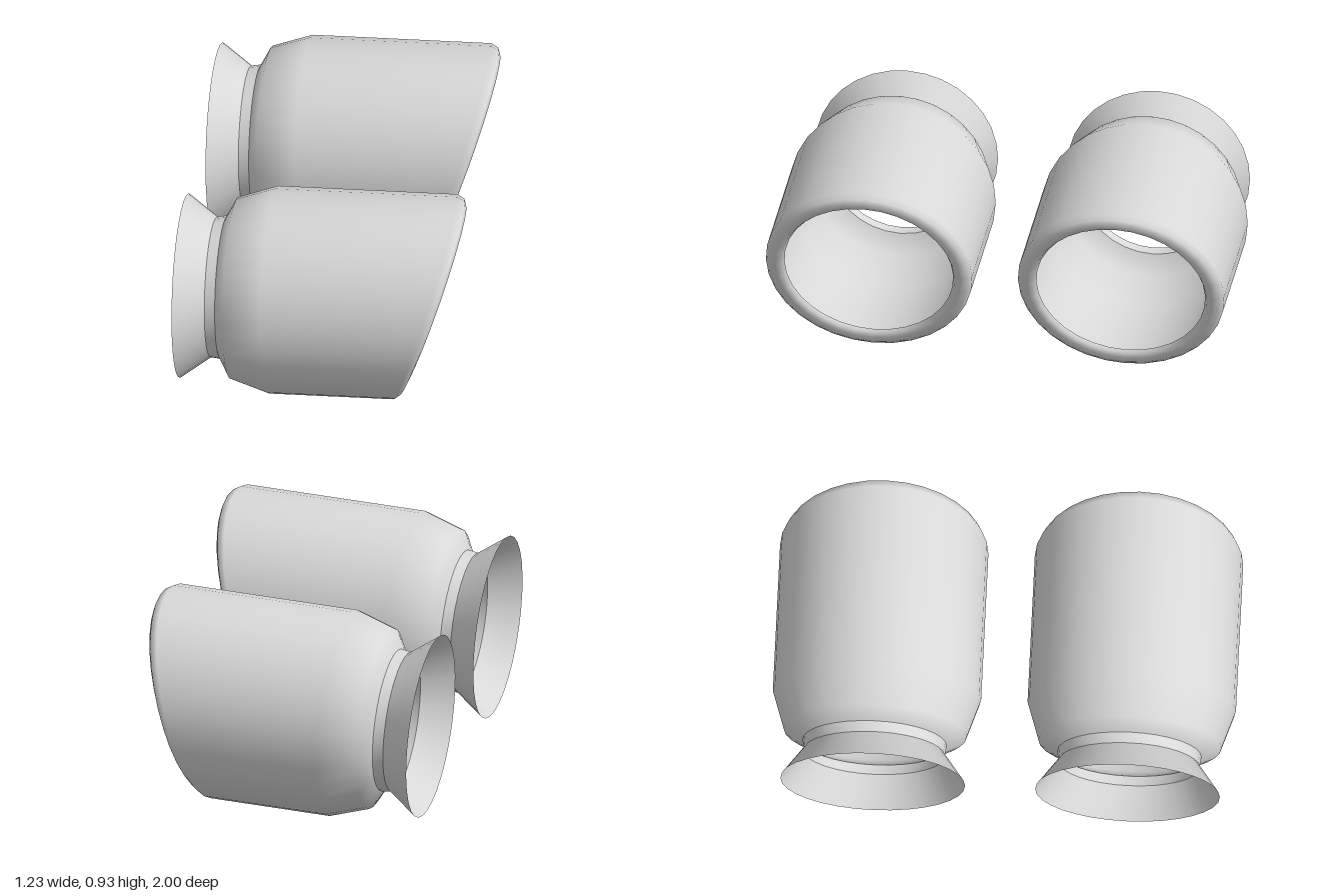
import * as THREE from 'three';

const metal = new THREE.MeshStandardMaterial({ color: 0xd8d8d8, side: THREE.DoubleSide });
metal.name = 'polished metal';

// Lofts a smooth skin through elliptical rings: [topX, topY, bottomX, bottomY, half width in z]
function loft(name, rings, sides = 32) {
  const pos = [], index = [];
  rings.forEach(([tx, ty, bx, by, w], r) => {
    for (let i = 0; i < sides; i++) {
      const a = (i / sides) * Math.PI * 2, c = Math.cos(a) / 2;
      pos.push((tx + bx) / 2 + c * (tx - bx), (ty + by) / 2 + c * (ty - by), w * Math.sin(a));
      if (r < rings.length - 1) {
        const p = r * sides + i, q = r * sides + (i + 1) % sides;
        index.push(p, q, p + sides, q, q + sides, p + sides);
      }
    }
  });
  const geo = new THREE.BufferGeometry();
  geo.setAttribute('position', new THREE.Float32BufferAttribute(pos, 3));
  geo.setIndex(index);
  geo.computeVertexNormals();
  const mesh = new THREE.Mesh(geo, metal);
  mesh.name = name;
  return mesh;
}

// Shared rings, from the inlet to the slanted outlet
const flareEnd = [-0.617, 0.83, -0.587, 0.033, 0.399];
const neckBack = [-0.484, 0.741, -0.46, 0.134, 0.305];
const neckFront = [-0.438, 0.75, -0.415, 0.13, 0.311];
const shoulderLow = [-0.397, 0.835, -0.365, 0.048, 0.395];
const shoulderHigh = [-0.228, 0.897, -0.195, 0, 0.45];
const bodyEnd = [0.575, 0.93, 0.322, 0.022, 0.45];
const rimOuter = [0.607, 0.913, 0.345, 0.043, 0.433];
const rimFace = [0.616, 0.887, 0.353, 0.068, 0.404];
const rimInner = [0.602, 0.864, 0.352, 0.09, 0.378];
const rimEnd = [0.572, 0.853, 0.336, 0.1, 0.368];

// Thin single-walled tip with a rolled lip
function exhaustTip(name) {
  const tip = new THREE.Group();
  tip.name = name;
  tip.add(
    loft('inletFlare', [flareEnd, neckBack]),
    loft('neckCollar', [neckBack, neckFront]),
    loft('bodyShell', [neckFront, shoulderLow, shoulderHigh, bodyEnd, rimOuter, rimFace, rimInner, rimEnd]),
  );
  return tip;
}

export function createModel() {
  const group = new THREE.Group();
  group.name = 'twinExhaustTips';
  for (const side of [1, -1]) {
    const tip = exhaustTip(side > 0 ? 'frontTip' : 'rearTip');
    tip.position.z = side * 0.55;
    group.add(tip);
  }
  return group;
}
